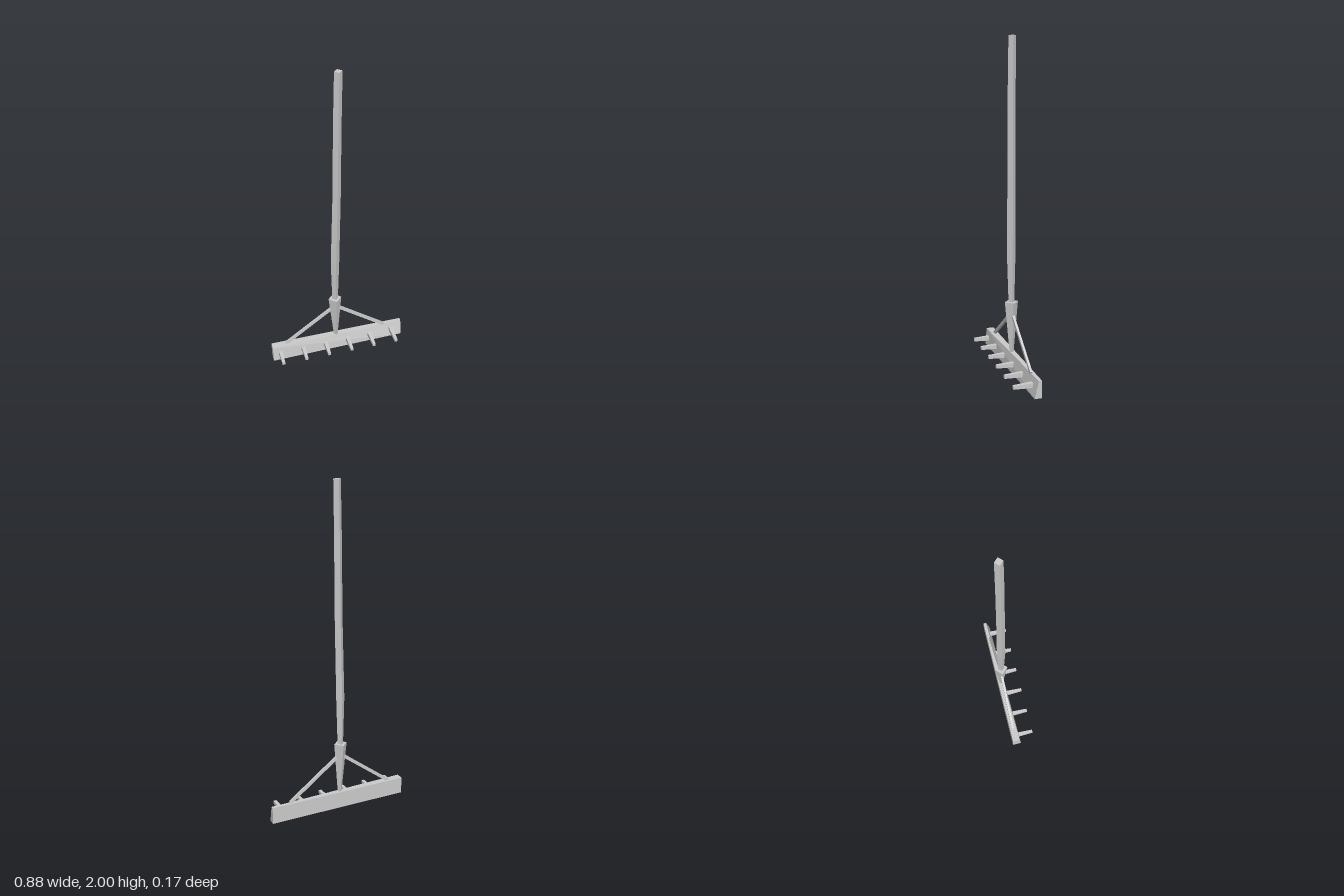
import * as THREE from 'three';

const material = new THREE.MeshStandardMaterial({ color: 0xcccccc, flatShading: true });

// Skin over four-cornered rings, capped; corners run counter-clockwise seen from the far end.
function loft(name, rings) {
  const pos = [];
  const quad = (a, b, c, d) => pos.push(...a, ...b, ...c, ...a, ...c, ...d);
  for (let i = 0; i < rings.length - 1; i++) {
    for (let j = 0; j < 4; j++) {
      const k = (j + 1) % 4;
      quad(rings[i][j], rings[i][k], rings[i + 1][k], rings[i + 1][j]);
    }
  }
  const [a, b, c, d] = rings[0];
  quad(d, c, b, a);
  quad(...rings[rings.length - 1]);
  const geometry = new THREE.BufferGeometry();
  geometry.setAttribute('position', new THREE.Float32BufferAttribute(pos, 3));
  geometry.computeVertexNormals();
  const mesh = new THREE.Mesh(geometry, material);
  mesh.name = name;
  return mesh;
}

// Horizontal diamond ring with corners on the x and z axes
const diamond = ([x, y, z, r]) => [[x + r, y, z], [x, y, z - r], [x - r, y, z], [x, y, z + r]];

// Upright rectangular ring for the teeth
const rect = (x, y, z, w, h) => [
  [x - w, y - h, z], [x + w, y - h, z], [x + w, y + h, z], [x - w, y + h, z],
];

// End section of the head: slanted front, upright back
const headEnd = (x, zTop, zBottom) => [
  [x, 0.105, zTop], [x, 0, zBottom], [x, 0, -0.065], [x, 0.105, -0.065],
];

export function createModel() {
  const rake = new THREE.Group();
  rake.name = 'rake';

  // Slightly twisted wooden head
  rake.add(loft('head', [headEnd(-0.442, -0.018, -0.008), headEnd(0.442, -0.046, -0.022)]));

  // Six tapered teeth
  const teeth = new THREE.Group();
  teeth.name = 'teeth';
  for (let i = 0; i < 6; i++) {
    const x = -0.392 + i * 0.1525;
    teeth.add(loft('tooth', [rect(x, 0.055, -0.045, 0.0135, 0.015), rect(x, 0.055, 0.083, 0.009, 0.01)]));
  }
  rake.add(teeth);

  // Socket flaring up from the head
  rake.add(loft('socket', [[-0.011, 0.1, -0.043, 0.013], [-0.016, 0.425, -0.043, 0.042]].map(diamond)));

  // Crooked handle
  rake.add(loft('handle', [
    [-0.015, 0.4, -0.043, 0.018],
    [-0.015, 0.72, -0.041, 0.027],
    [-0.005, 1.2, -0.038, 0.025],
    [0, 1.7, -0.037, 0.024],
    [0.006, 2, -0.038, 0.023],
  ].map(diamond)));

  // Diagonal struts from socket to head
  for (const side of [-1, 1]) {
    const foot = new THREE.Vector2(-0.014 + side * 0.335, 0.103);
    const top = new THREE.Vector2(-0.014 + side * 0.015, 0.345);
    const run = top.clone().sub(foot);
    const strut = new THREE.Mesh(new THREE.BoxGeometry(run.length(), 0.019, 0.014), material);
    strut.position.set((foot.x + top.x) / 2, (foot.y + top.y) / 2, -0.045);
    strut.rotation.z = run.angle();
    strut.name = side < 0 ? 'rightStrut' : 'leftStrut';
    rake.add(strut);
  }
  return rake;
}
